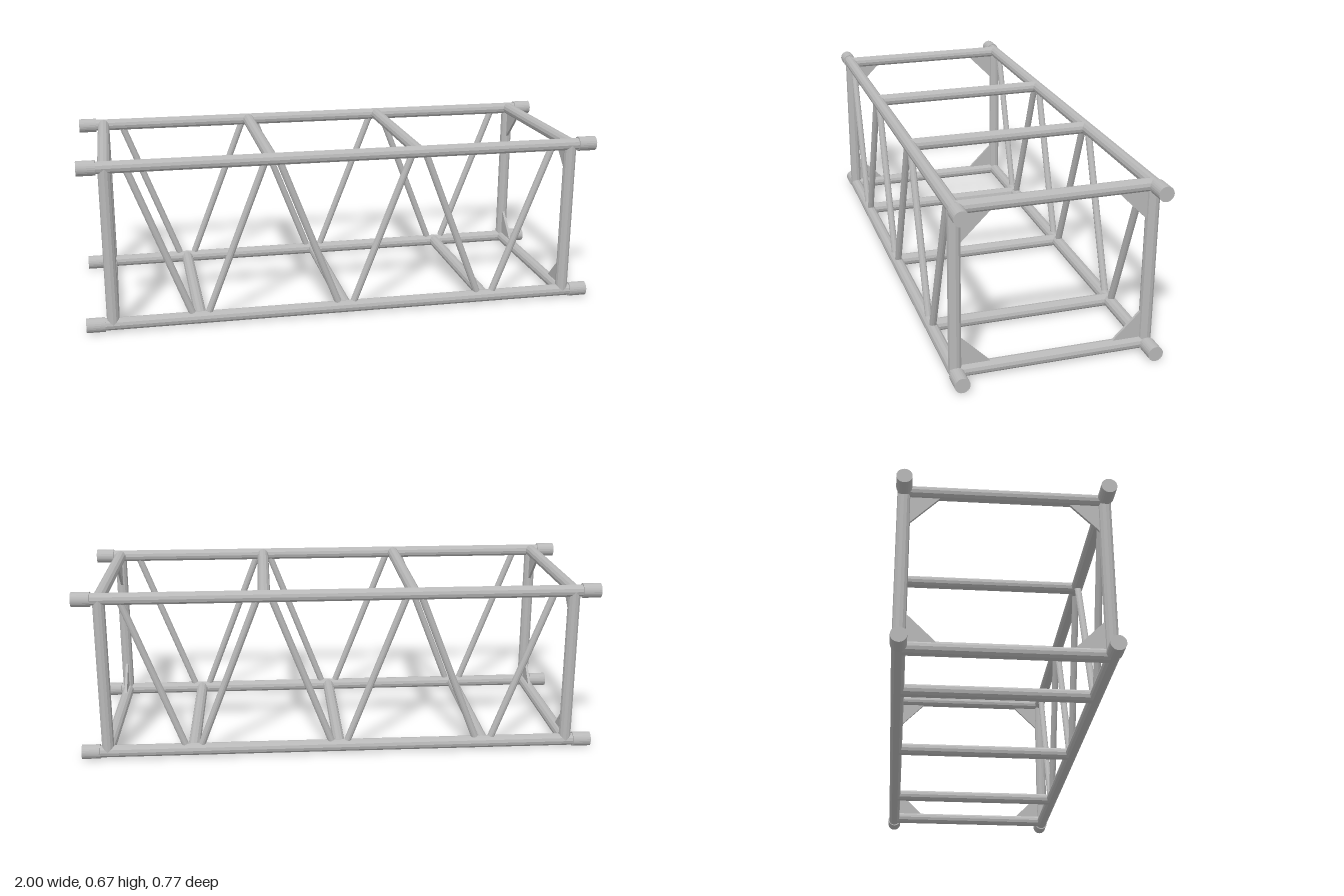
import * as THREE from 'three';

const TOP = 0.64, BOTTOM = 0.028, SIDE = 0.355, END = 0.9;

export function createModel() {
  const model = new THREE.Group();
  model.name = 'boxTruss';
  const metal = new THREE.MeshStandardMaterial({ color: 0xb8b8b8, flatShading: true });
  metal.name = 'aluminium';

  // Straight tube between two points
  function tube(name, a, b, radius, sides = 12) {
    const from = new THREE.Vector3(...a), to = new THREE.Vector3(...b);
    const dir = to.clone().sub(from);
    const mesh = new THREE.Mesh(new THREE.CylinderGeometry(radius, radius, dir.length(), sides), metal);
    mesh.position.copy(from).add(to).multiplyScalar(0.5);
    mesh.quaternion.setFromUnitVectors(new THREE.Vector3(0, 1, 0), dir.normalize());
    mesh.name = name;
    model.add(mesh);
  }

  // Long chords with a thicker coupling collar at each end
  for (const z of [-SIDE, SIDE]) {
    for (const y of [BOTTOM, TOP]) {
      tube('chord', [-0.99, y, z], [0.99, y, z], 0.0238);
      for (const s of [-1, 1]) tube('endCollar', [s * 0.93, y, z], [s, y, z], 0.028, 24);
    }

    // End posts
    for (const x of [-END, END]) tube('endPost', [x, BOTTOM, z], [x, TOP, z], 0.0235);

    // Zigzag bracing: top x and bottom x of each diagonal, mirrored
    for (const s of [-1, 1]) {
      for (const [top, bottom] of [[0.82, 0.602], [0.314, 0.537], [0.254, 0.032]]) {
        tube('diagonalBrace', [s * top, 0.624, z], [s * bottom, 0.05, z], 0.0135);
      }
    }
  }

  // Cross bars at the bracing nodes and ends
  for (const x of [-END, -0.285, 0.285, END]) tube('topCrossBar', [x, TOP, -SIDE], [x, TOP, SIDE], 0.0235);
  for (const x of [-END, -0.57, 0, 0.57, END]) tube('bottomCrossBar', [x, BOTTOM, -SIDE], [x, BOTTOM, SIDE], 0.0235);

  // Triangular gusset plates in the corners of both end frames
  for (const x of [-END, END]) {
    for (const sz of [-1, 1]) {
      for (const [y, sy] of [[BOTTOM, 1], [TOP, -1]]) {
        const shape = new THREE.Shape([[0.012, 0.012], [0.136, 0.012], [0.012, 0.136]]
          .map(([u, v]) => new THREE.Vector2(-sz * (SIDE - u), y + sy * v)));
        const geometry = new THREE.ExtrudeGeometry(shape, { depth: 0.01, bevelEnabled: false });
        geometry.translate(0, 0, -0.005);
        geometry.rotateY(Math.PI / 2);
        const plate = new THREE.Mesh(geometry, metal);
        plate.position.x = x;
        plate.name = 'cornerGusset';
        model.add(plate);
      }
    }
  }
  return model;
}
